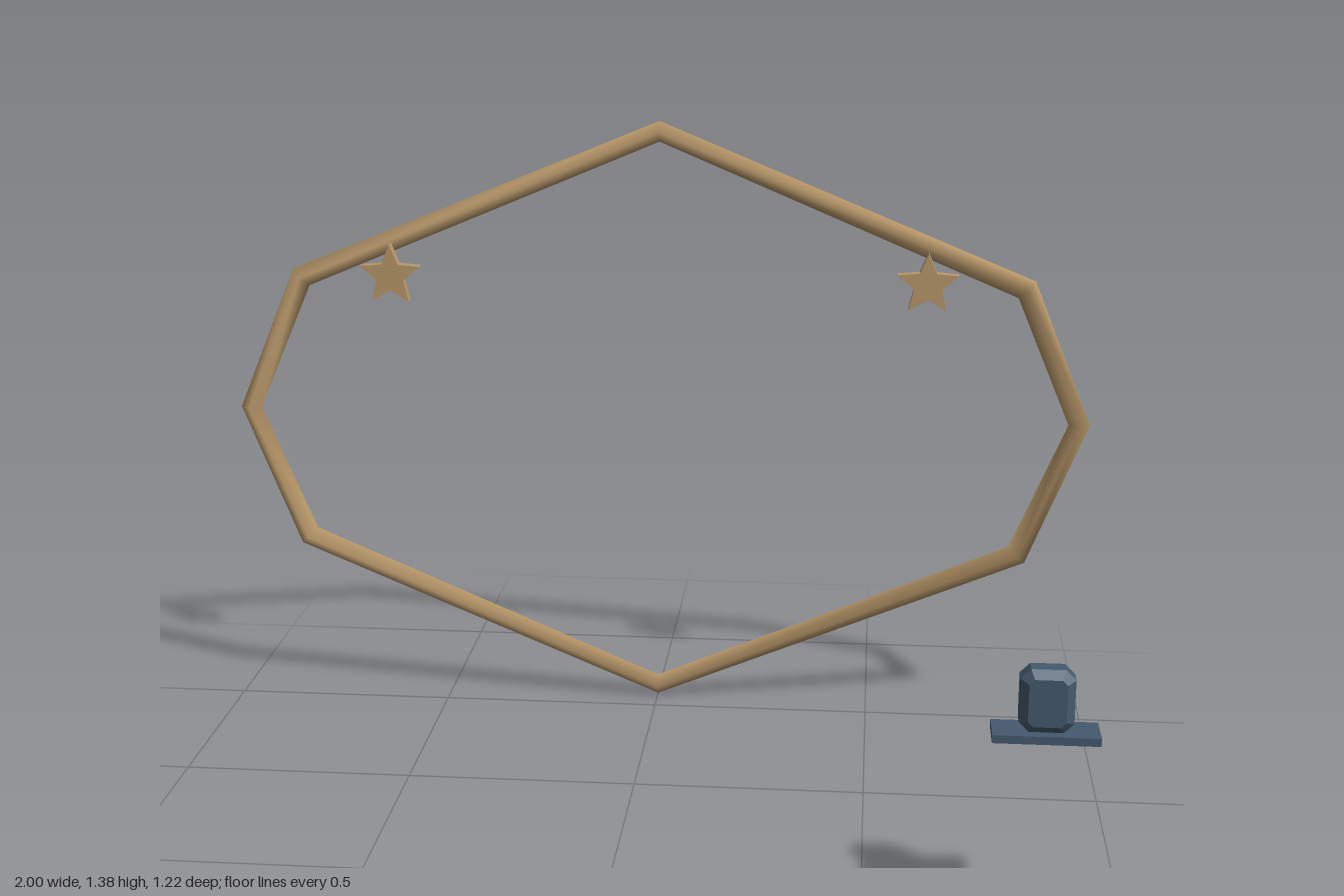
import * as THREE from 'three';

const tan = new THREE.MeshStandardMaterial({ color: 0xb9986a });
tan.name = 'warmTan';
const slate = new THREE.MeshStandardMaterial({ color: 0x455a6e });
slate.name = 'slateBlue';

function addMesh(parent, name, geometry, material, x = 0, y = 0, z = 0) {
  const mesh = new THREE.Mesh(geometry, material);
  mesh.name = name;
  mesh.position.set(x, y, z);
  parent.add(mesh);
  return mesh;
}

// Eight-cornered hoop with a diamond section, mirrored from one quadrant
function frameGeometry() {
  const mirror = ([a, b, c]) => [
    a, b, c, [-b[0], b[1]], [-a[0], 0], [-b[0], -b[1]], [0, -c[1]], [b[0], -b[1]],
  ];
  const outer = mirror([[1, 0], [0.863, 0.335], [0, 0.69]]);
  const inner = mirror([[0.951, 0], [0.825, 0.296], [0, 0.643]]);
  const halfDepth = 0.0275;
  const positions = [], index = [];
  outer.forEach(([ox, oy], i) => {
    const [ix, iy] = inner[i];
    const mx = (ox + ix) / 2, my = (oy + iy) / 2;
    positions.push(ox, oy, 0, mx, my, halfDepth, ix, iy, 0, mx, my, -halfDepth);
    for (let j = 0; j < 4; j++) {
      const next = ((i + 1) % 8) * 4, k = (j + 1) % 4;
      const a = i * 4 + j, b = next + j, c = next + k, d = i * 4 + k;
      index.push(a, b, c, a, c, d);
    }
  });
  const geometry = new THREE.BufferGeometry();
  geometry.setAttribute('position', new THREE.Float32BufferAttribute(positions, 3));
  geometry.setIndex(index);
  geometry.computeVertexNormals();
  return geometry;
}

// Five-pointed star plate
function starGeometry(radius, innerRadius, depth) {
  const points = [];
  for (let i = 0; i < 10; i++) {
    const r = i % 2 ? innerRadius : radius;
    const angle = Math.PI / 2 + (i * Math.PI) / 5;
    points.push(new THREE.Vector2(r * Math.cos(angle), r * Math.sin(angle)));
  }
  return new THREE.ExtrudeGeometry(new THREE.Shape(points), { depth, bevelEnabled: false });
}

// Block with cut corners and bevelled front and back edges, centred
function bevelledBlock(width, height, depth, cut, bevel) {
  const w = width / 2 - bevel, h = height / 2 - bevel;
  const points = [
    [w, -h + cut], [w, h - cut], [w - cut, h], [-w + cut, h],
    [-w, h - cut], [-w, -h + cut], [-w + cut, -h], [w - cut, -h],
  ].map(([x, y]) => new THREE.Vector2(x, y));
  const geometry = new THREE.ExtrudeGeometry(new THREE.Shape(points), {
    depth: depth - 2 * bevel, bevelEnabled: true,
    bevelSegments: 1, bevelSize: bevel, bevelThickness: bevel,
  });
  geometry.translate(0, 0, bevel - depth / 2);
  return geometry;
}

export function createModel() {
  const model = new THREE.Group();
  model.name = 'hoopWithStand';

  addMesh(model, 'hoopFrame', frameGeometry(), tan, 0, 0.69, -0.585);

  // Stars hang in front of the upper frame
  for (const side of [-1, 1]) {
    addMesh(model, side > 0 ? 'leftStar' : 'rightStar',
      starGeometry(0.073, 0.033, 0.028), tan, side * 0.617, 1.026, -0.531);
  }

  // Small block on a flat foot
  const stand = new THREE.Group();
  stand.name = 'stand';
  stand.position.set(0.84, 0, 0.568);
  model.add(stand);
  addMesh(stand, 'standFoot', new THREE.BoxGeometry(0.204, 0.016, 0.087), slate, 0, 0.368, 0);
  addMesh(stand, 'standBlock', bevelledBlock(0.104, 0.126, 0.068, 0.01, 0.016), slate, 0, 0.438, 0);

  return model;
}
